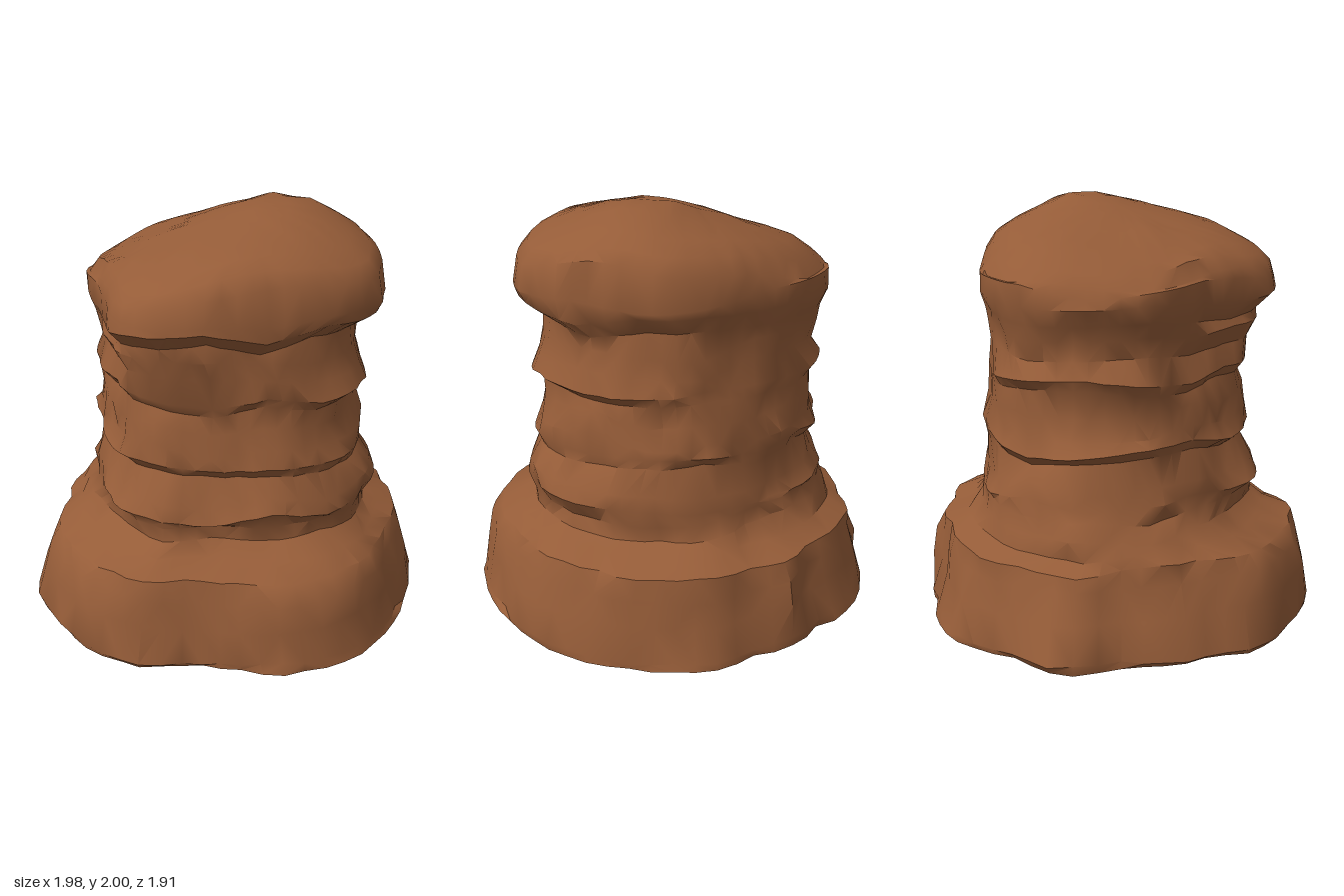
import * as THREE from 'three';
import { toCreasedNormals } from 'three/addons/utils/BufferGeometryUtils.js';

const SEG = 60;

// Outline radii every 15 degrees, from +x (left) round through +z (front)
const FOOT = [.98, 1.01, 1, .96, .88, .87, .95, .97, .98, 1.01, .95, .96, .94, 1.03, .98, 1.02, .99, .96, .95, .95, .96, .98, .97, .98];
const CAP = [.78, .76, .69, .65, .66, .7, .76, .74, .65, .61, .64, .69, .71, .73, .75, .76, .73, .69, .67, .69, .72, .71, .72, .76];

// Rock strata: height, xMin, xMax, zMin, zMax, foot-to-cap blend
const STRATA = [
  [0, -.99, .99, -.95, .94, 0],
  [.04, -1, .99, -.95, .95, 0],
  [.2, -.94, .95, -.92, .92, 0],
  [.33, -.89, .92, -.9, .9, 0],
  [.42, -.86, .88, -.88, .86, .1],
  [.465, -.8, .79, -.75, .73, .3],
  [.53, -.77, .72, -.69, .65, .5],
  [.6, -.72, .73, -.68, .66, .6],
  [.66, -.72, .77, -.68, .69, .6],
  [.73, -.69, .75, -.66, .66, .6],
  [.85, -.65, .67, -.64, .61, .6],
  [.9, -.7, .7, -.66, .64, .6],
  [.98, -.66, .68, -.66, .63, .6],
  [1.08, -.65, .65, -.64, .6, .6],
  [1.17, -.65, .65, -.62, .58, .65],
  [1.22, -.69, .7, -.64, .62, .7],
  [1.31, -.64, .67, -.63, .63, .75],
  [1.4, -.66, .65, -.62, .68, .8],
  [1.48, -.67, .66, -.62, .67, .9],
  [1.56, -.71, .76, -.66, .77, 1],
  [1.63, -.7, .78, -.66, .77, 1],
];

// Seeded value in -1..1 for a lattice point
function hash(a, b) {
  const s = Math.sin(a * 127.1 + b * 311.7 + 17.3) * 43758.5453;
  return (s - Math.floor(s)) * 2 - 1;
}

// Jagged value that runs round a ring, with one step for every few segments
function jag(i, row, cells) {
  const t = (i / SEG) * cells, k = Math.floor(t);
  return THREE.MathUtils.lerp(hash(k % cells, row), hash((k + 1) % cells, row), t - k);
}

function outline(table, i) {
  const t = (i / SEG) * 24, k = Math.floor(t);
  return THREE.MathUtils.lerp(table[k % 24], table[(k + 1) % 24], t - k);
}

// Sloping crown with a small flat summit toward the back left
function crownHeight(x, z) {
  const dx = x - .22, dz = z + .2;
  const q = Math.hypot(dx / (dx < 0 ? .82 : .66), dz / (dz < 0 ? .56 : 1.02));
  return Math.max(1.67, 2 - .31 * Math.pow(Math.max(0, q - .1), 1.2));
}

function ringPoint(row, i) {
  const [y, x0, x1, z0, z1, blend] = STRATA[row];
  const a = (i / SEG) * Math.PI * 2;
  const foot = outline(FOOT, i), cap = outline(CAP, i);
  // Normalise each outline to unit extents before blending
  const cx = Math.cos(a), cz = Math.sin(a);
  const fx = foot * cx, fz = foot * cz / .95;
  const px = cap * cx / (cx > 0 ? .78 : .71), pz = cap * cz / (cz > 0 ? .76 : .67);
  // Upright ribs on the foot, chipped ledges above
  const ribs = .025 * jag(i, 7, 30) * Math.max(0, 1 - blend * 2);
  const chips = (blend > .2 ? .03 : .015) * jag(i, row + 3, 20) + .012 * hash(i, row + 50);
  const rough = 1 + ribs + (blend === 1 ? .4 : 1) * chips;
  const x = THREE.MathUtils.lerp(fx, px, blend) * rough;
  const z = THREE.MathUtils.lerp(fz, pz, blend) * rough;
  const wave = row > 0 ? .02 + .02 * blend : 0;
  return [
    THREE.MathUtils.clamp(x * (x > 0 ? x1 : -x0), -1, 1),
    y + wave * jag(i, Math.floor(row / 2) + 80, 15),
    THREE.MathUtils.clamp(z * (z > 0 ? z1 : -z0), -.955, .955),
  ];
}

function buildRock() {
  const pos = [], index = [];
  // Walls
  STRATA.forEach((level, row) => {
    for (let i = 0; i < SEG; i++) pos.push(...ringPoint(row, i));
  });
  // Crown rings shrink from a rounded rim to the middle: scale, drop
  const rim = STRATA.length - 1;
  const crown = [[.97, .05], [.9, .01], [.78, 0], [.6, 0], [.4, 0], [.2, 0]];
  crown.forEach(([s, drop], k) => {
    for (let i = 0; i < SEG; i++) {
      const [x, , z] = ringPoint(rim, i);
      const bump = .02 * jag(i, 120 + k, 12) * s;
      pos.push(x * s, Math.min(2, crownHeight(x * s, z * s) - drop + bump), z * s);
    }
  });
  const rings = STRATA.length + crown.length;
  for (let j = 0; j < rings - 1; j++) {
    for (let i = 0; i < SEG; i++) {
      const n = (i + 1) % SEG;
      const a = j * SEG + i, b = j * SEG + n, c = a + SEG, d = b + SEG;
      // Alternate the diagonal for a broken, chipped surface
      if (hash(i, j + 200) > 0) index.push(a, c, b, b, c, d);
      else index.push(a, d, b, a, c, d);
    }
  }
  // Close the summit and the flat underside
  const top = pos.length / 3;
  pos.push(0, crownHeight(0, 0), 0, 0, 0, 0);
  for (let i = 0; i < SEG; i++) {
    const n = (i + 1) % SEG, last = (rings - 1) * SEG;
    index.push(last + i, top, last + n, i, n, top + 1);
  }
  const geo = new THREE.BufferGeometry();
  geo.setAttribute('position', new THREE.Float32BufferAttribute(pos, 3));
  geo.setIndex(index);
  return toCreasedNormals(geo, Math.PI / 4.5);
}

export function createModel() {
  const group = new THREE.Group();
  group.name = 'rockButte';
  const sandstone = new THREE.MeshStandardMaterial({ color: 0x955c38 });
  sandstone.name = 'sandstone';
  const rock = new THREE.Mesh(buildRock(), sandstone);
  rock.name = 'layeredRock';
  group.add(rock);
  return group;
}
